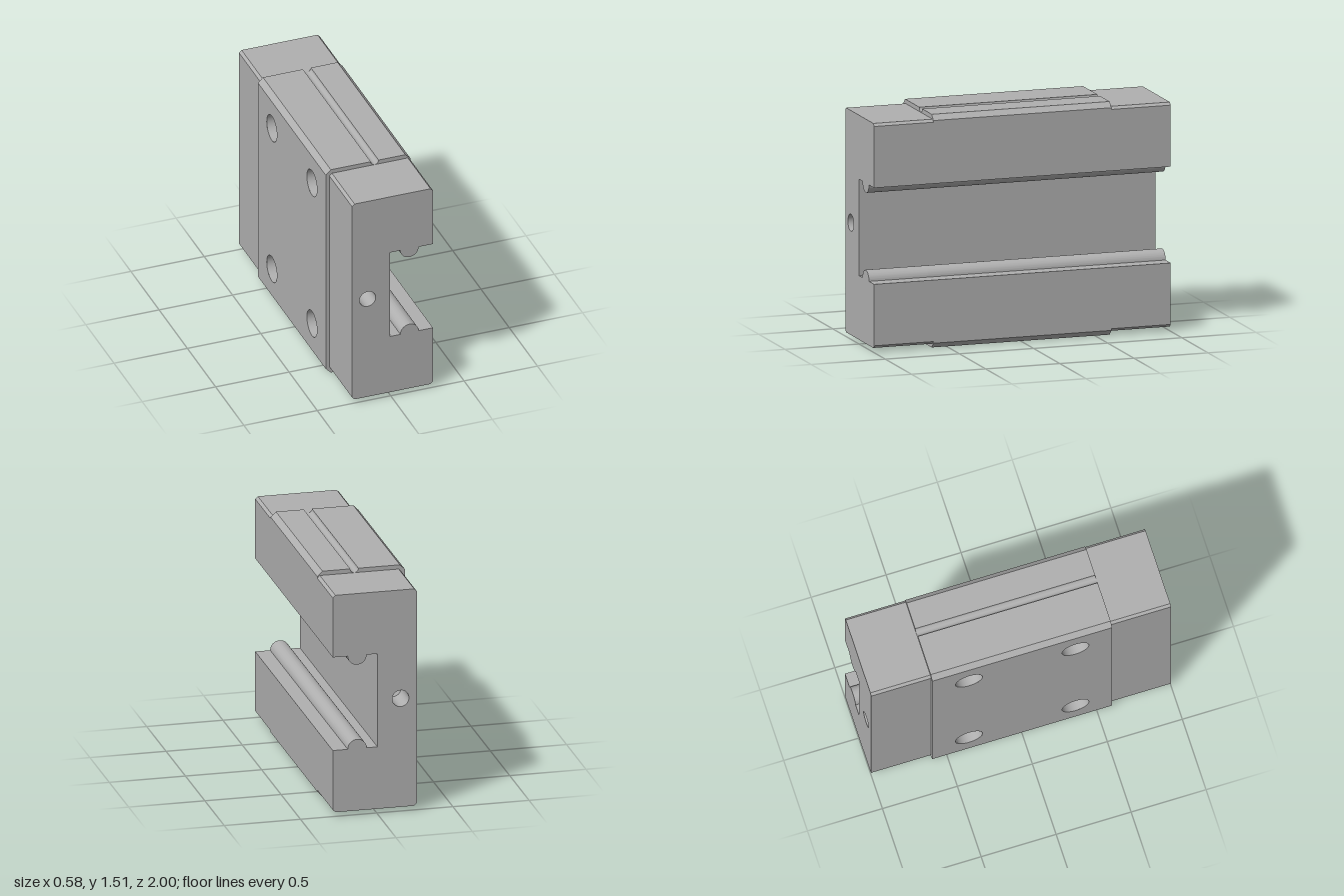
import * as THREE from 'three';
import { toCreasedNormals } from 'three/addons/utils/BufferGeometryUtils.js';

const MID = 0.757;      // mid height
const HALF_BODY = 0.6;  // half length of the central block
const HALF_ALL = 1;     // half length including end caps

// C-shaped cross-section with chamfered corners and two rounded rails, counter-clockwise
function section(xMin, halfHeight, chamfer, groove) {
  const xMax = 0.288, lo = MID - halfHeight, hi = MID + halfHeight;
  const slotLo = MID - 0.313, slotHi = MID + 0.313;
  const s = new THREE.Shape();
  s.moveTo(xMin + chamfer, lo);
  s.lineTo(xMax - chamfer, lo);
  s.lineTo(xMax, lo + chamfer);
  s.lineTo(xMax, slotLo);
  s.lineTo(0.19, slotLo);
  s.absarc(0.128, slotLo, 0.062, 0, Math.PI, false);
  s.lineTo(-0.005, slotLo);
  s.lineTo(-0.005, slotHi);
  s.lineTo(0.066, slotHi);
  s.absarc(0.128, slotHi, 0.062, Math.PI, 2 * Math.PI, false);
  s.lineTo(xMax, slotHi);
  s.lineTo(xMax, hi - chamfer);
  s.lineTo(xMax - chamfer, hi);
  if (groove) {
    s.lineTo(0.072, hi);
    s.absarc(0.045, hi, 0.027, 0, -Math.PI, true);
  }
  s.lineTo(xMin + chamfer, hi);
  s.lineTo(xMin, hi - chamfer);
  s.lineTo(xMin, lo + chamfer);
  s.closePath();
  return s;
}

// Side walls of a section between z0 and z1, optionally leaving out the wall at x = skipX
function walls(shape, z0, z1, skipX = null) {
  const pts = shape.getPoints(16), pos = [];
  pts.forEach((p, i) => {
    const q = pts[(i + 1) % pts.length];
    if (p.distanceTo(q) < 1e-6) return;
    if (skipX !== null && Math.abs(p.x - skipX) < 1e-6 && Math.abs(q.x - skipX) < 1e-6) return;
    pos.push(p.x, p.y, z0, q.x, q.y, z0, q.x, q.y, z1);
    pos.push(p.x, p.y, z0, q.x, q.y, z1, p.x, p.y, z1);
  });
  const g = new THREE.BufferGeometry();
  g.setAttribute('position', new THREE.Float32BufferAttribute(pos, 3));
  g.computeVertexNormals();
  return toCreasedNormals(g, 0.5);
}

function circleHole(x, y, r) {
  return new THREE.Path().absarc(x, y, r, 0, Math.PI * 2, true);
}

// Blind drilled hole with a conical floor, opening towards +y
function drillHole(r, depth) {
  const profile = [[0, -depth - r * 0.6], [r, -depth], [r, 0]].map(([x, y]) => new THREE.Vector2(x, y));
  return toCreasedNormals(new THREE.LatheGeometry(profile, 32), 0.5);
}

export function createModel() {
  const model = new THREE.Group();
  model.name = 'linearCarriage';
  const steel = new THREE.MeshStandardMaterial({ color: 0xb0b0b0, side: THREE.DoubleSide });
  steel.name = 'steel grey';

  const add = (parent, name, geometry) => {
    const mesh = new THREE.Mesh(geometry, steel);
    mesh.name = name;
    parent.add(mesh);
    return mesh;
  };

  // Central block
  const block = new THREE.Group();
  block.name = 'block';
  model.add(block);
  const xBack = -0.288, chamfer = 0.034;
  const blockShape = section(xBack, MID, chamfer, true);
  add(block, 'blockWalls', walls(blockShape, -HALF_BODY, HALF_BODY, xBack));
  add(block, 'blockFrontFace', new THREE.ShapeGeometry(blockShape, 16)).position.z = HALF_BODY;
  const rear = new THREE.ShapeGeometry(blockShape, 16);
  rear.index.array.reverse();
  rear.attributes.normal.array.forEach((n, i, a) => { a[i] = -n; });
  add(block, 'blockRearFace', rear).position.z = -HALF_BODY;

  // Mounting face with four blind holes
  const plate = new THREE.Shape([
    new THREE.Vector2(-HALF_BODY, chamfer), new THREE.Vector2(HALF_BODY, chamfer),
    new THREE.Vector2(HALF_BODY, 2 * MID - chamfer), new THREE.Vector2(-HALF_BODY, 2 * MID - chamfer),
  ]);
  for (const z of [-0.355, 0.355]) {
    for (const y of [MID - 0.525, MID + 0.525]) {
      plate.holes.push(circleHole(z, y, 0.09));
      const hole = add(block, 'mountingHole', drillHole(0.09, 0.3));
      hole.position.set(xBack, y, z);
      hole.rotation.z = Math.PI / 2;
    }
  }
  const face = add(block, 'mountingFace', new THREE.ShapeGeometry(plate, 32));
  face.rotation.y = -Math.PI / 2;
  face.position.x = xBack;

  // End caps, the rear one turned over about the x axis
  const capShape = section(-0.263, 0.729, 0.017, false);
  const capWalls = walls(capShape, HALF_BODY, HALF_ALL);
  capShape.holes.push(circleHole(-0.157, MID, 0.055));
  const capFace = new THREE.ShapeGeometry(capShape, 16);
  const capHole = drillHole(0.055, 0.2);
  for (const end of ['front', 'rear']) {
    const cap = new THREE.Group();
    cap.name = end + 'EndCap';
    add(cap, 'capWalls', capWalls);
    add(cap, 'capFace', capFace).position.z = HALF_ALL;
    const hole = add(cap, 'portHole', capHole);
    hole.position.set(-0.157, MID, HALF_ALL);
    hole.rotation.x = Math.PI / 2;
    if (end === 'rear') {
      cap.rotation.x = Math.PI;
      cap.position.y = 2 * MID;
    }
    model.add(cap);
  }
  return model;
}
